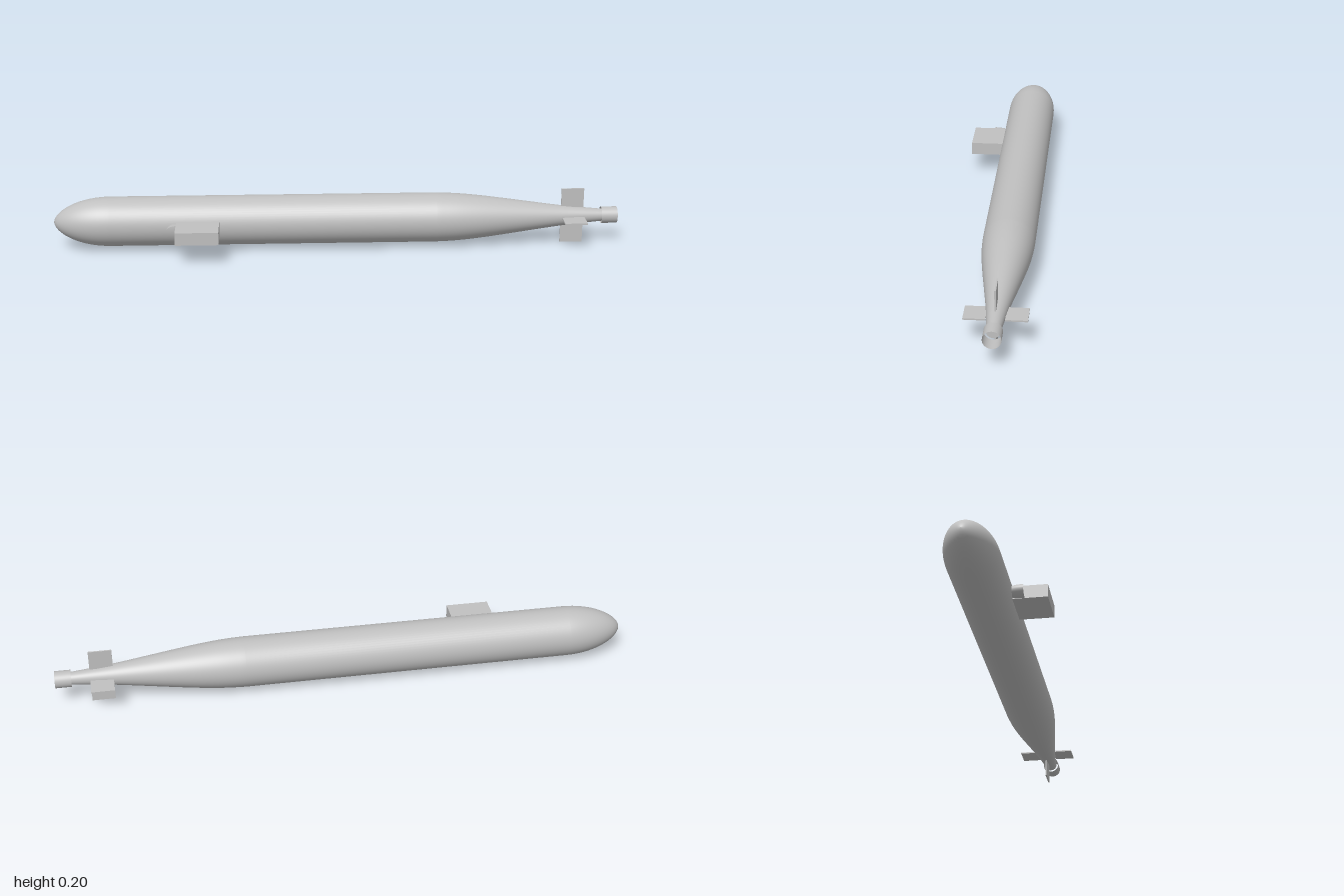
import * as THREE from 'three';

const AXIS_Y = 0.1, AXIS_Z = -0.05, R = 0.0875;

export function createModel() {
  const model = new THREE.Group();
  model.name = 'submarine';
  const grey = new THREE.MeshStandardMaterial({ color: 0xc0c0c0 });
  grey.name = 'hull grey';
  const greyOpen = new THREE.MeshStandardMaterial({ color: 0xc0c0c0, side: THREE.DoubleSide });
  greyOpen.name = 'hull grey';

  const add = (name, geometry, parent, material = grey) => {
    const mesh = new THREE.Mesh(geometry, material);
    mesh.name = name;
    parent.add(mesh);
    return mesh;
  };

  // Everything is placed relative to the hull axis, which runs along x
  const boat = new THREE.Group();
  boat.name = 'boat';
  boat.position.set(0, AXIS_Y, AXIS_Z);
  model.add(boat);

  // Hull: rounded nose, straight middle and a long tapered tail
  const profile = [];
  for (let i = 0; i <= 16; i++) {
    const a = (i / 16) * Math.PI / 2;
    profile.push(new THREE.Vector2(R * Math.pow(Math.sin(a), 1.15), -0.8 - 0.2 * Math.cos(a)));
  }
  const tail = new THREE.SplineCurve([
    [0.35, R], [0.42, 0.0845], [0.5, 0.077], [0.6, 0.064],
    [0.7, 0.05], [0.8, 0.0365], [0.88, 0.028], [0.95, 0.0215],
  ].map(([x, r]) => new THREE.Vector2(r, x)));
  profile.push(...tail.getPoints(21));
  add('hull', new THREE.LatheGeometry(profile, 64).rotateZ(-Math.PI / 2), boat);
  add('tailCap', new THREE.CircleGeometry(0.0215, 48).rotateY(Math.PI / 2).translate(0.95, 0, 0), boat);

  // Sail: box on the +z side with a rounded leading edge
  const sail = new THREE.Group();
  sail.name = 'sail';
  boat.add(sail);
  add('sailBody', new THREE.BoxGeometry(0.15, 0.045, 0.15).translate(-0.49, 0, 0.125), sail);
  const nose = new THREE.SphereGeometry(1, 24, 24, -Math.PI / 2, Math.PI)
    .rotateY(Math.PI)
    .rotateY(Math.PI / 2);
  // Turn the half ball so that it bulges towards -x, then flatten it
  nose.computeBoundingBox();
  if (nose.boundingBox.min.x > -0.9) {
    const c = nose.boundingBox.getCenter(new THREE.Vector3());
    nose.rotateY(Math.PI - Math.atan2(-c.z, c.x));
  }
  nose.scale(0.035, 0.0225, 0.075).translate(-0.565, 0, 0.125);
  add('sailLeadingEdge', nose, sail);

  // Four tail fins in a cross
  for (let i = 0; i < 4; i++) {
    const fin = add('tailFin', new THREE.BoxGeometry(0.08, 0.07, 0.005).translate(0.84, 0.065, 0), boat);
    fin.rotation.x = i * Math.PI / 2;
  }

  // Open propulsor duct at the stern
  add('propulsorDuct',
    new THREE.CylinderGeometry(0.0295, 0.0295, 0.056, 48, 1, true).rotateZ(-Math.PI / 2).translate(0.972, 0, 0),
    boat, greyOpen);

  return model;
}
